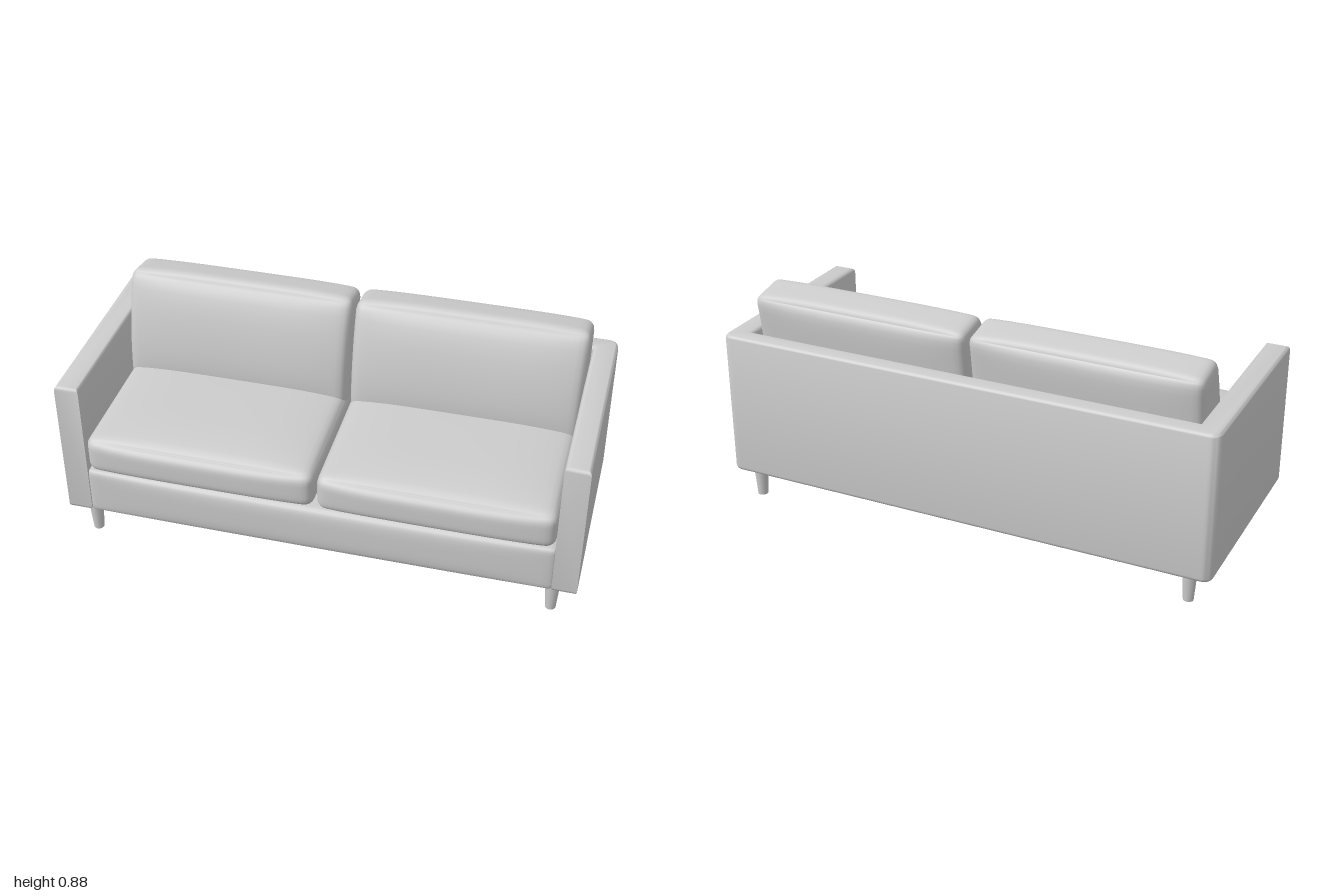
import * as THREE from 'three';
import { mergeVertices, toCreasedNormals } from 'three/addons/utils/BufferGeometryUtils.js';

const fabric = new THREE.MeshStandardMaterial({ color: 0xcccccc });
fabric.name = 'grey fabric';

// Finely divided box with rounded edges; bend(p, u) then reshapes it,
// u being the position within the box from -1 to 1 on each axis.
function softBox(size, center, radius, bend) {
  let g = new THREE.BoxGeometry(2, 2, 2, 28, 16, 24);
  g.deleteAttribute('uv');
  g.deleteAttribute('normal');
  g = mergeVertices(g);
  const pos = g.attributes.position;
  const half = new THREE.Vector3(...size).multiplyScalar(0.5);
  const inner = half.clone().subScalar(radius);
  const minInner = inner.clone().negate();
  const u = new THREE.Vector3(), p = new THREE.Vector3(), core = new THREE.Vector3();
  // Pack the grid lines closer together near the edges
  const ease = (t) => Math.sin(t * Math.PI / 2);
  for (let i = 0; i < pos.count; i++) {
    u.fromBufferAttribute(pos, i);
    u.set(ease(u.x), ease(u.y), ease(u.z));
    p.copy(u).multiply(half);
    core.copy(p).clamp(minInner, inner);
    p.sub(core).normalize().multiplyScalar(radius).add(core);
    if (bend) bend(p, u);
    pos.setXYZ(i, p.x + center[0], p.y + center[1], p.z + center[2]);
  }
  g.computeVertexNormals();
  return g;
}

// Crown of a stuffed face: 1 in the middle, 0 at the seams
const crown = (a, b) => (1 - a ** 4) * (1 - b ** 4);

function add(group, name, geometry) {
  const mesh = new THREE.Mesh(geometry, fabric);
  mesh.name = name;
  group.add(mesh);
  return mesh;
}

// U-shaped plan of the two arms and the back, drawn with y = -z
function shellGeometry() {
  const b = 0.018, r = 0.022;
  const X = 1 - b, front = -0.41 + b, back = 0.432 - b;
  const innerX = 0.905 + b, innerBack = 0.352 + b;
  const s = new THREE.Shape();
  s.moveTo(-X, front);
  s.lineTo(-innerX, front);
  s.lineTo(-innerX, innerBack);
  s.lineTo(innerX, innerBack);
  s.lineTo(innerX, front);
  s.lineTo(X, front);
  s.lineTo(X, back - r);
  s.quadraticCurveTo(X, back, X - r, back);
  s.lineTo(-X + r, back);
  s.quadraticCurveTo(-X, back, -X, back - r);
  s.closePath();
  const g = new THREE.ExtrudeGeometry(s, {
    depth: 0.585 - 2 * b, bevelThickness: b, bevelSize: b, bevelSegments: 5, curveSegments: 6,
  });
  g.rotateX(-Math.PI / 2);
  g.translate(0, 0.115 + b, 0);
  return toCreasedNormals(g, 0.7);
}

export function createModel() {
  const sofa = new THREE.Group();
  sofa.name = 'sofa';

  add(sofa, 'armsAndBack', shellGeometry());

  // Upholstered base with a gently bulging front
  add(sofa, 'base', softBox([1.82, 0.2, 0.79], [0, 0.216, 0.015], 0.02, (p, u) => {
    if (u.z > 0) p.z += 0.014 * u.z * crown(u.x, u.y);
  }));

  for (const side of [-1, 1]) {
    const label = side > 0 ? 'left' : 'right';

    // Seat cushion, crowned on top and rounded at the front
    add(sofa, label + 'SeatCushion', softBox([0.898, 0.155, 0.74], [side * 0.454, 0.393, 0.045], 0.04, (p, u) => {
      if (u.y > 0) p.y += 0.027 * u.y * crown(u.x, u.z);
      if (u.z > 0) p.z += 0.018 * u.z * crown(u.x, u.y);
    }));

    // Back cushion: leans back, tapers towards its rounded, sloping top
    add(sofa, label + 'BackCushion', softBox([0.9, 0.44, 0.18], [side * 0.456, 0.635, -0.218], 0.035, (p, u) => {
      const t = (p.y + 0.22) / 0.44;
      p.z *= 1.25 - 0.35 * t * t;
      p.z += 0.02 * u.z * crown(u.x, u.y);
      p.z -= 0.07 * t * t - 0.025;
      p.y += t * (0.012 * crown(u.x, u.z) + 0.2 * (p.z + 0.045));
    }));

    // Tapered legs
    for (const [end, z] of [['Front', 0.366], ['Back', -0.373]]) {
      const leg = add(sofa, label + end + 'Leg', new THREE.CylinderGeometry(0.029, 0.02, 0.13, 12));
      leg.position.set(side * 0.906, 0.065, z);
    }
  }
  return sofa;
}
